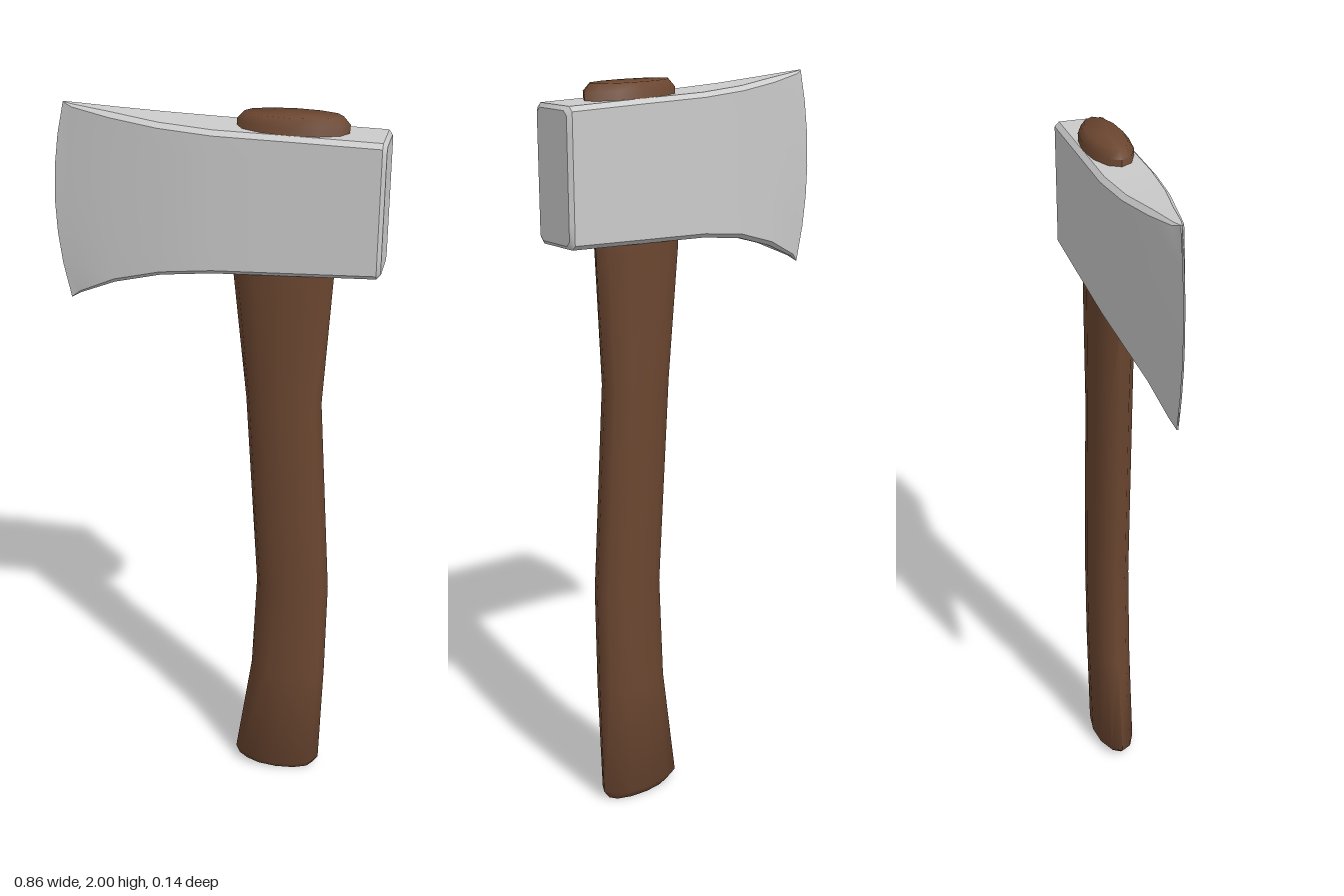
import * as THREE from 'three';
import { toCreasedNormals } from 'three/addons/utils/BufferGeometryUtils.js';

// Skin a closed surface over a list of equal-length rings and cap both ends.
function loft(rings, crease) {
  const n = rings[0].length, points = rings.flat(), index = [];
  rings.slice(1).forEach((_, i) => {
    for (let j = 0; j < n; j++) {
      const k = (j + 1) % n;
      const a = i * n + j, b = i * n + k, c = a + n, d = b + n;
      index.push(a, c, b, b, c, d);
    }
  });
  const cap = (ring, start, flip) => {
    const centre = ring.reduce((s, p) => s.add(p), new THREE.Vector3()).divideScalar(n);
    const m = points.push(centre) - 1;
    for (let j = 0; j < n; j++) {
      const a = start + j, b = start + (j + 1) % n;
      if (flip) index.push(m, b, a);
      else index.push(m, a, b);
    }
  };
  cap(rings[0], 0, false);
  cap(rings[rings.length - 1], (rings.length - 1) * n, true);
  const geometry = new THREE.BufferGeometry().setFromPoints(points);
  geometry.setIndex(index);
  return toCreasedNormals(geometry, crease);
}

// Oval handle section at height y, spanning x0..x1.
function ovalRing([y, x0, x1, halfZ]) {
  return Array.from({ length: 12 }, (_, i) => {
    const a = i / 12 * Math.PI * 2;
    return new THREE.Vector3((x0 + x1) / 2 + (x1 - x0) / 2 * Math.cos(a), y, halfZ * Math.sin(a));
  });
}

// Chamfered upright head section; bow pushes its middle forward for the curved edge.
function headRing([x, bottom, top, halfZ, bow]) {
  const c = Math.min(0.012, halfZ * 0.4);
  const height = top - bottom;
  const side = [
    [0, halfZ - c], [c / height, halfZ], [0.18, halfZ], [0.34, halfZ], [0.5, halfZ],
    [0.68, halfZ], [0.84, halfZ], [1 - c / height, halfZ], [1, halfZ - c],
  ].map(([t, z]) => new THREE.Vector3(x - bow * (1 - (2 * t - 1) ** 2), bottom + t * height, z));
  const mirrored = side.map(p => new THREE.Vector3(p.x, p.y, -p.z)).reverse();
  return [...side, ...mirrored];
}

export function createModel() {
  const group = new THREE.Group();
  const add = (name, geometry, color) => {
    const mesh = new THREE.Mesh(geometry, new THREE.MeshStandardMaterial({ color }));
    mesh.name = name;
    group.add(mesh);
  };

  // Curved handle: y, left x, right x, half depth
  add('handle', loft([
    [0, 0.085, 0.295, 0.042],
    [0.025, 0.06, 0.312, 0.06],
    [0.35, 0.105, 0.32, 0.061],
    [0.64, 0.117, 0.322, 0.061],
    [1.22, 0.08, 0.285, 0.061],
    [1.58, 0.042, 0.305, 0.061],
    [1.98, 0.05, 0.332, 0.061],
    [2, 0.068, 0.314, 0.045],
  ].map(ovalRing), 1), 0x6b4630);

  // Head from cutting edge to poll: x, bottom, top, half depth, bow
  add('axeHead', loft([
    [-0.397, 1.467, 1.995, 0.002, 0.034],
    [-0.37, 1.485, 1.992, 0.015, 0.02],
    [-0.27, 1.53, 1.983, 0.036, 0],
    [-0.14, 1.57, 1.971, 0.06, 0],
    [0, 1.59, 1.964, 0.072, 0],
    [0.2, 1.599, 1.961, 0.072, 0],
    [0.42, 1.609, 1.957, 0.072, 0],
    [0.43, 1.619, 1.947, 0.062, 0],
  ].map(headRing), 0.6), 0xcccccc);

  return group;
}
